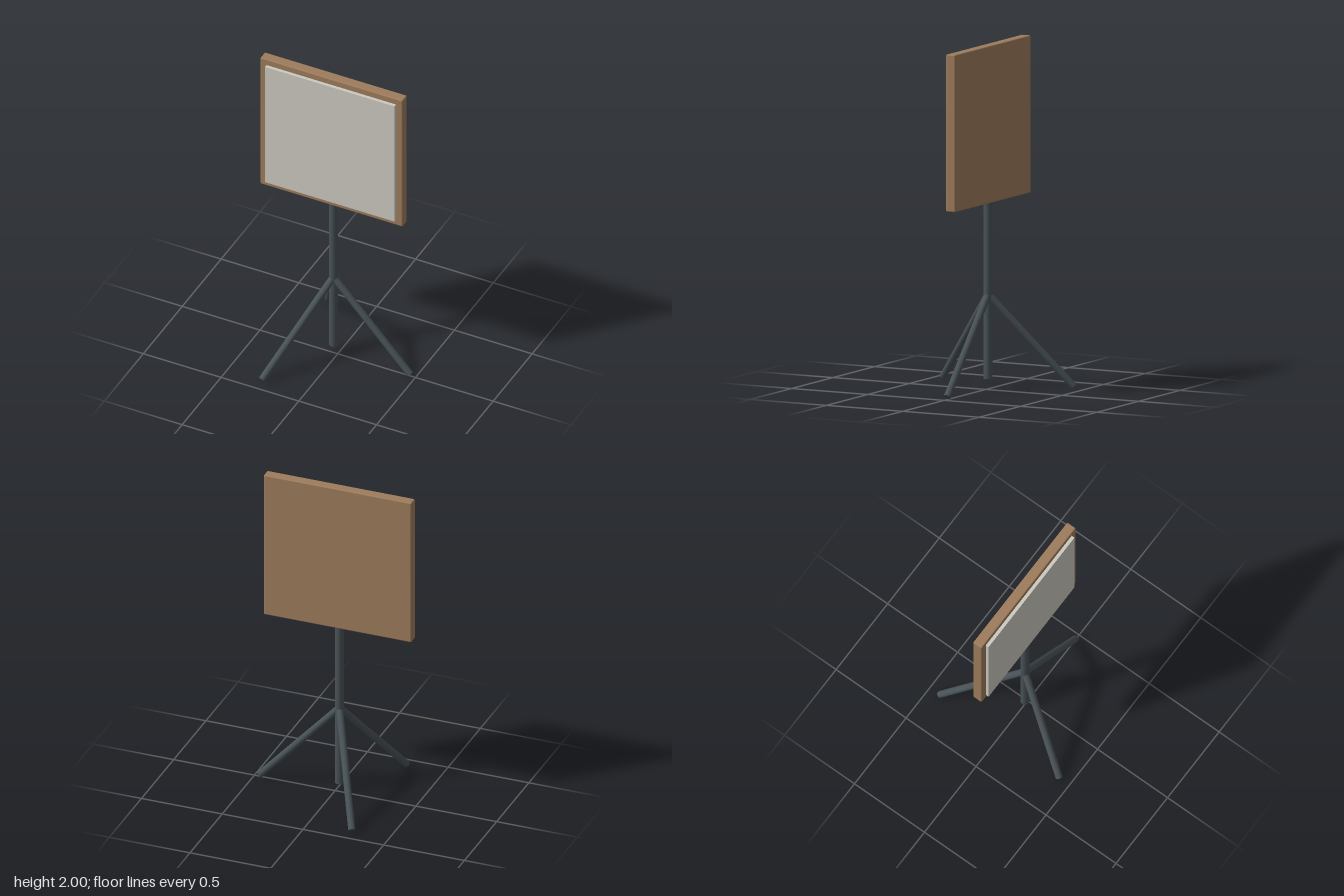
import * as THREE from 'three';
import { RoundedBoxGeometry } from 'three/addons/geometries/RoundedBoxGeometry.js';

const wood = new THREE.MeshStandardMaterial({ name: 'wood', color: 0x9e7c5c });
const paper = new THREE.MeshStandardMaterial({ name: 'paper', color: 0xcdcac1 });
const metal = new THREE.MeshStandardMaterial({ name: 'dark metal', color: 0x485256 });

const AXIS_X = -0.027; // the pole and panel sit left of the overall centre

function addMesh(parent, name, geometry, material, x, y, z) {
  const mesh = new THREE.Mesh(geometry, material);
  mesh.name = name;
  mesh.position.set(x, y, z);
  parent.add(mesh);
  return mesh;
}

// Round rod between two points
function addRod(parent, name, from, to, radius) {
  const dir = to.clone().sub(from);
  const mid = from.clone().add(to).multiplyScalar(0.5);
  const rod = addMesh(parent, name,
    new THREE.CylinderGeometry(radius, radius, dir.length(), 16), metal, mid.x, mid.y, mid.z);
  rod.quaternion.setFromUnitVectors(new THREE.Vector3(0, 1, 0), dir.normalize());
}

export function createModel() {
  const model = new THREE.Group();
  model.name = 'signStand';

  // Wooden board with softened edges, and the sheet on its front
  addMesh(model, 'board', new RoundedBoxGeometry(0.915, 0.915, 0.061, 2, 0.008), wood, AXIS_X, 1.5425, -0.0025);
  addMesh(model, 'sheet', new THREE.BoxGeometry(0.833, 0.835, 0.022), paper, AXIS_X, 1.5425, 0.037);

  // Centre pole
  addRod(model, 'pole', new THREE.Vector3(AXIS_X, 0.06, 0), new THREE.Vector3(AXIS_X, 1.1, 0), 0.026);

  // Three legs, evenly spread around the pole
  const tripod = new THREE.Group();
  tripod.name = 'tripod';
  tripod.position.x = AXIS_X;
  model.add(tripod);
  for (let i = 0; i < 3; i++) {
    const a = (i * Math.PI * 2) / 3;
    addRod(tripod, 'leg' + (i + 1), new THREE.Vector3(0, 0.55, 0),
      new THREE.Vector3(Math.cos(a) * 0.492, 0.0145, Math.sin(a) * 0.492), 0.021);
  }
  return model;
}
